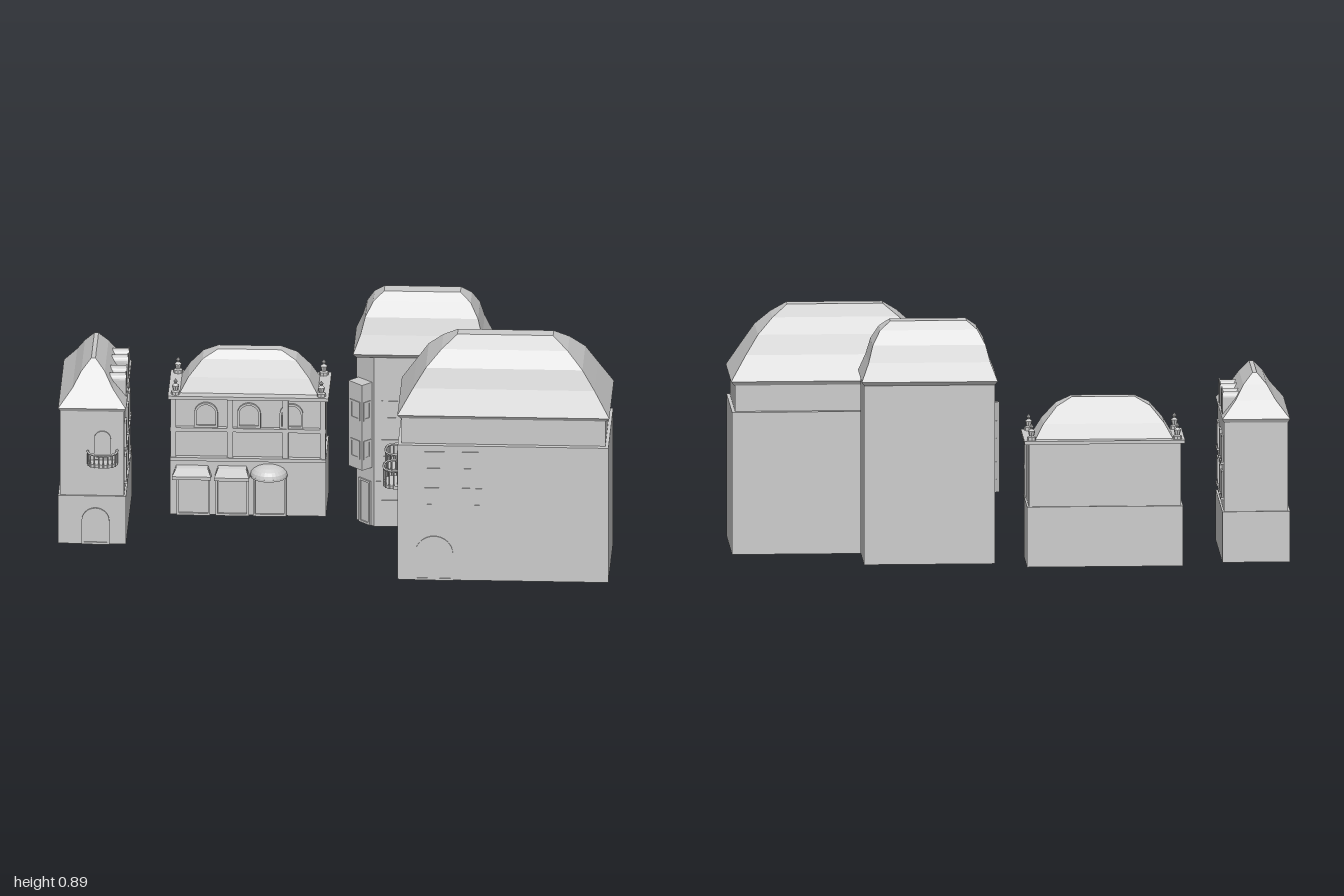
import * as THREE from 'three';

const mat = new THREE.MeshStandardMaterial({ color: 0xcccccc, flatShading: true, side: THREE.DoubleSide });

function add(parent, name, geo, x = 0, y = 0, z = 0, ry = 0) {
  const m = new THREE.Mesh(geo, mat);
  m.name = name;
  m.position.set(x, y, z);
  m.rotation.y = ry;
  parent.add(m);
  return m;
}

// Box given by its limits
function block(parent, name, x0, x1, y0, y1, z0, z1) {
  return add(parent, name, new THREE.BoxGeometry(x1 - x0, y1 - y0, z1 - z0),
    (x0 + x1) / 2, (y0 + y1) / 2, (z0 + z1) / 2);
}

// Hipped roof lofted through rectangles; rings are [y, insetX, insetZ]
function hipRoof(parent, name, x0, x1, z0, z1, rings) {
  const pos = [];
  const corners = rings.map(([y, a, b]) => [
    [x0 + a, y, z1 - b], [x1 - a, y, z1 - b], [x1 - a, y, z0 + b], [x0 + a, y, z0 + b]]);
  const quad = (a, b, c, d) => pos.push(...a, ...b, ...c, ...a, ...c, ...d);
  for (let r = 0; r + 1 < corners.length; r++)
    for (let i = 0; i < 4; i++) {
      const j = (i + 1) % 4;
      quad(corners[r][i], corners[r][j], corners[r + 1][j], corners[r + 1][i]);
    }
  const t = corners[corners.length - 1], b = corners[0];
  quad(...t);
  quad(b[3], b[2], b[1], b[0]);
  const g = new THREE.BufferGeometry();
  g.setAttribute('position', new THREE.Float32BufferAttribute(pos, 3));
  g.computeVertexNormals();
  add(parent, name, g);
}

// Outline standing on y = 0, with a round head if arched
function outline(C, w, h, arched, off = 0) {
  const s = new C(), r = w / 2 - off, top = arched ? h - w / 2 : h - off;
  s.moveTo(-r, off);
  s.lineTo(r, off);
  s.lineTo(r, top);
  if (arched) s.absarc(0, top, r, 0, Math.PI, false);
  else s.lineTo(-r, top);
  s.closePath();
  return s;
}

// Framed opening with a thin pane, facing +z before turning by ry
function opening(parent, name, x, y, z, w, h, { ry = 0, arched = false, depth = 0.006 } = {}) {
  const g = new THREE.Group();
  g.name = name;
  g.position.set(x, y, z);
  g.rotation.y = ry;
  const frame = outline(THREE.Shape, w, h, arched);
  frame.holes.push(outline(THREE.Path, w, h, arched, 0.008));
  add(g, 'frame', new THREE.ExtrudeGeometry(frame, { depth, bevelEnabled: false, curveSegments: 8 }));
  add(g, 'pane', new THREE.ShapeGeometry(outline(THREE.Shape, w, h, arched, 0.006), 8), 0, 0, 0.001);
  parent.add(g);
}

// Rounded balcony: floor slab, open rail and posts, projecting along +z before turning
function balcony(parent, x, y, z, w, d, h, ry = 0) {
  const g = new THREE.Group();
  g.name = 'balcony';
  g.position.set(x, y, z);
  g.rotation.y = ry;
  const r = Math.min(d, w / 2) * 0.8;
  const s = new THREE.Shape();
  s.moveTo(-w / 2, 0);
  s.lineTo(w / 2, 0);
  s.lineTo(w / 2, d - r);
  s.quadraticCurveTo(w / 2, d, w / 2 - r, d);
  s.lineTo(-w / 2 + r, d);
  s.quadraticCurveTo(-w / 2, d, -w / 2, d - r);
  const slab = new THREE.ExtrudeGeometry(s, { depth: 0.012, bevelEnabled: false, curveSegments: 5 });
  slab.rotateX(Math.PI / 2);
  add(g, 'floor', slab, 0, 0.012, 0);
  const pts = s.getPoints(5).slice(1).map(p => new THREE.Vector3(p.x, h, p.y));
  const path = new THREE.CatmullRomCurve3(pts, false, 'centripetal');
  add(g, 'rail', new THREE.TubeGeometry(path, 24, 0.005, 5));
  for (let i = 0; i <= 10; i++) {
    const p = path.getPointAt(i / 10);
    add(g, 'baluster', new THREE.CylinderGeometry(0.003, 0.003, h, 5), p.x, h / 2, p.z);
  }
  parent.add(g);
}

function house(root, name) {
  const g = new THREE.Group();
  g.name = name;
  root.add(g);
  return g;
}

// Narrow house with dormers
function narrowHouse(root) {
  const g = house(root, 'narrowHouse');
  block(g, 'base', -1, -0.755, 0.015, 0.2, -0.33, 0.145);
  block(g, 'upperWalls', -0.993, -0.762, 0.2, 0.53, -0.323, 0.138);
  hipRoof(g, 'roof', -1, -0.755, -0.332, 0.147,
    [[0.525, 0.007, 0.007], [0.538, 0, 0], [0.6, 0.05, 0.045], [0.65, 0.08, 0.085], [0.69, 0.115, 0.115]]);
  opening(g, 'door', -0.865, 0.015, 0.145, 0.1, 0.14, { arched: true });
  opening(g, 'balconyDoor', -0.84, 0.34, 0.138, 0.06, 0.11, { arched: true });
  balcony(g, -0.84, 0.325, 0.138, 0.105, 0.052, 0.05);
  for (const z of [0.065, -0.09, -0.225])
    for (const y of [0.24, 0.37]) {
      opening(g, 'sideWindow', -0.762, y, z, 0.06, 0.095, { ry: Math.PI / 2 });
      block(g, 'sill', -0.762, -0.752, y - 0.008, y, z - 0.036, z + 0.036);
    }
  // Arched dormers looking out of the long slope
  for (const z of [-0.232, -0.168, -0.062, 0.01]) {
    const body = outline(THREE.Shape, 0.044, 0.085, true);
    add(g, 'dormer', new THREE.ExtrudeGeometry(body, { depth: 0.065, bevelEnabled: false, curveSegments: 6 }),
      -0.828, 0.54, z, Math.PI / 2);
    opening(g, 'dormerWindow', -0.763, 0.543, z, 0.05, 0.087, { ry: Math.PI / 2, arched: true, depth: 0.004 });
  }
}

// Low arcaded house with shops
function arcadeHouse(root) {
  const g = house(root, 'arcadeHouse');
  block(g, 'base', -0.61, -0.047, 0.015, 0.235, -0.395, -0.16);
  block(g, 'upperWalls', -0.603, -0.054, 0.235, 0.465, -0.388, -0.17);
  block(g, 'cornice', -0.617, -0.037, 0.465, 0.477, -0.406, -0.144);
  block(g, 'floorLedge', -0.61, -0.047, 0.225, 0.238, -0.2, -0.15);
  block(g, 'middleLedge', -0.61, -0.047, 0.338, 0.352, -0.18, -0.153);
  for (const x of [-0.598, -0.393, -0.193, -0.058])
    block(g, 'pilaster', x - 0.01, x + 0.01, 0.235, 0.465, -0.18, -0.155);
  for (const x of [-0.48, -0.325, -0.172])
    opening(g, 'archedWindow', x, 0.352, -0.17, 0.085, 0.095, { arched: true, depth: 0.01 });
  hipRoof(g, 'roof', -0.575, -0.078, -0.37, -0.18,
    [[0.477, 0, 0], [0.53, 0.03, 0.022], [0.59, 0.08, 0.05], [0.62, 0.135, 0.075]]);
  // Corner finials
  const profile = [[0.016, 0], [0.016, 0.012], [0.009, 0.016], [0.013, 0.034], [0.004, 0.042], [0.008, 0.05], [0, 0.06]]
    .map(p => new THREE.Vector2(...p));
  for (const x of [-0.59, -0.064])
    for (const z of [-0.38, -0.168]) add(g, 'finial', new THREE.LatheGeometry(profile, 8), x, 0.477, z);
  // Shop fronts: two sloping awnings and one domed awning
  for (const x of [-0.525, -0.385, -0.25]) opening(g, 'shopFront', x, 0.015, -0.16, 0.12, 0.16, { depth: 0.01 });
  for (const [x, w, z1] of [[-0.53, 0.14, -0.107], [-0.385, 0.125, -0.1]]) {
    const s = new THREE.Shape([[0, 0.205], [0.02, 0.2], [-0.16 - z1, 0.18], [-0.16 - z1, 0.168], [0, 0.168]]
      .map(([a, b]) => new THREE.Vector2(-a * Math.sign(z1 + 1), b)));
    const geo = new THREE.ExtrudeGeometry(s, { depth: w, bevelEnabled: false });
    geo.translate(0, 0, -w / 2);
    // Taper the top so that the ends slope as well
    const p = geo.attributes.position;
    for (let i = 0; i < p.count; i++) if (p.getY(i) > 0.19) p.setZ(i, p.getZ(i) * 0.82);
    for (let i = 0; i < p.count; i++) p.setX(i, Math.abs(p.getX(i)) > 0.03 ? -(z1 + 0.16) * -1 * -1 : p.getX(i));
    geo.computeVertexNormals();
    add(g, 'awning', geo, x, 0, -0.16, Math.PI / 2);
  }
  const dome = new THREE.SphereGeometry(0.067, 14, 5, 0, Math.PI, 0, Math.PI / 2);
  dome.scale(1, 0.6, 1);
  add(g, 'domedAwning', dome, -0.253, 0.175, -0.162);
  const rim = new THREE.CylinderGeometry(0.067, 0.067, 0.008, 14, 1, false, -Math.PI / 2, Math.PI);
  add(g, 'awningRim', rim, -0.253, 0.172, -0.162);
}

// Tall house with a cut corner and an oriel
function cornerHouse(root) {
  const g = house(root, 'cornerHouse');
  const plan = new THREE.Shape([[0.064, 0.135], [0.13, 0.07], [0.537, 0.07], [0.537, 0.315], [0.064, 0.315]]
    .map(p => new THREE.Vector2(...p)));
  const walls = new THREE.ExtrudeGeometry(plan, { depth: 0.657, bevelEnabled: false });
  walls.rotateX(-Math.PI / 2);
  add(g, 'walls', walls, 0, 0.015, 0);
  hipRoof(g, 'roof', 0.055, 0.546, -0.328, -0.057, [[0.67, 0.01, 0.01], [0.684, 0, 0], [0.75, 0.026, 0.028],
    [0.81, 0.042, 0.05], [0.86, 0.07, 0.082], [0.89, 0.108, 0.108]]);
  // Everything on the cut corner shares one turned frame
  const corner = new THREE.Group();
  corner.name = 'cornerFront';
  corner.position.set(0.097, 0, -0.1025);
  corner.rotation.y = -Math.PI / 4;
  g.add(corner);
  block(corner, 'oriel', -0.036, 0.036, 0.24, 0.57, -0.01, 0.048);
  opening(corner, 'cornerDoor', 0, 0.015, 0, 0.06, 0.17);
  for (const y of [0.28, 0.43]) {
    opening(corner, 'orielWindow', 0, y, 0.048, 0.05, 0.072, { depth: 0.003 });
    for (const s of [-1, 1])
      opening(corner, 'orielSideWindow', 0.036 * s, y, 0.024, 0.034, 0.072, { ry: s * Math.PI / 2, depth: 0.003 });
  }
  for (const x of [0.187, 0.31, 0.433]) {
    for (const y of [0.28, 0.43]) opening(g, 'window', x, y, -0.07, 0.06, 0.072, { depth: 0.004 });
    opening(g, 'shopWindow', x, 0.11, -0.07, 0.1, 0.08, { depth: 0.004 });
  }
}

// Large house with an arched door
function largeHouse(root) {
  const g = house(root, 'largeHouse');
  block(g, 'lowerWalls', 0.237, 0.997, 0, 0.52, 0.01, 0.408);
  block(g, 'upperWalls', 0.25, 0.985, 0.52, 0.617, 0.032, 0.388);
  hipRoof(g, 'roof', 0.235, 1, 0.02, 0.397, [[0.615, 0.012, 0.01], [0.63, 0, 0], [0.72, 0.055, 0.042],
    [0.79, 0.1, 0.067], [0.845, 0.155, 0.115], [0.885, 0.21, 0.163]]);
  opening(g, 'archedDoor', 0.368, 0, 0.408, 0.137, 0.17, { arched: true, depth: 0.004 });
  for (const x of [0.37, 0.505])
    for (const y of [0.285, 0.425]) opening(g, 'window', x, y, 0.408, 0.072, 0.072, { depth: 0.004 });
  // Balconies on the narrow side
  for (const z of [0.122, 0.283]) {
    opening(g, 'balconyDoor', 0.237, 0.332, z, 0.075, 0.14, { ry: -Math.PI / 2, arched: true });
    balcony(g, 0.237, 0.32, z, 0.108, 0.055, 0.07, -Math.PI / 2);
  }
}

export function createModel() {
  const root = new THREE.Group();
  root.name = 'houses';
  narrowHouse(root);
  arcadeHouse(root);
  cornerHouse(root);
  largeHouse(root);
  return root;
}
